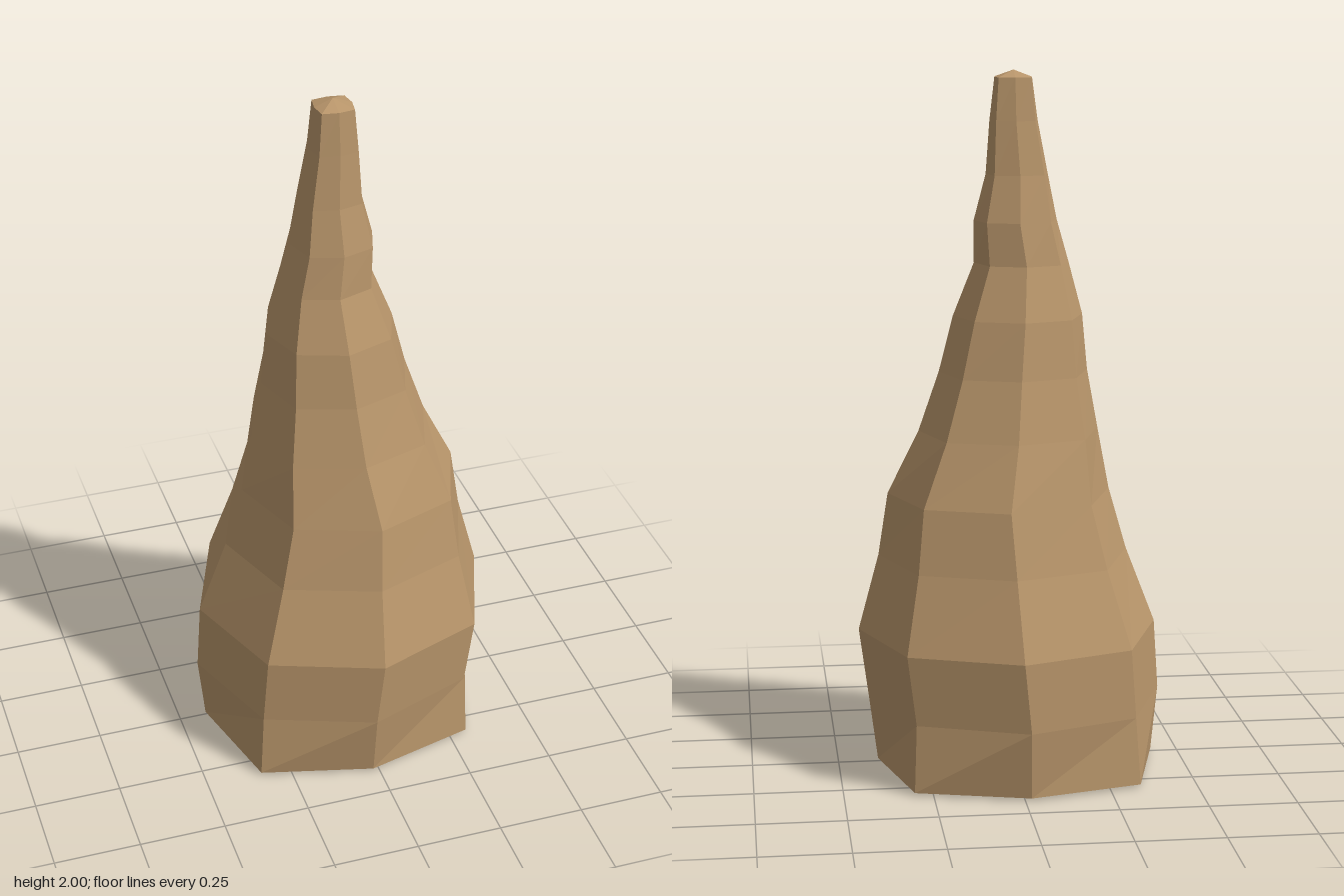
import * as THREE from 'three';

// Rings of the spire: height, centre x, radius on the axes, offset of the diagonal corners
const RINGS = [
  [0.008, -0.018, 0.403, 0.32],
  [0.2, -0.015, 0.425, 0.31],
  [0.4, 0.005, 0.432, 0.315],
  [0.62, 0.018, 0.36, 0.265],
  [0.8, 0.03, 0.32, 0.235],
  [0.98, 0.002, 0.258, 0.195],
  [1.15, -0.012, 0.213, 0.16],
  [1.31, -0.025, 0.185, 0.137],
  [1.46, -0.035, 0.135, 0.1],
  [1.58, -0.018, 0.118, 0.09],
  [1.71, -0.022, 0.088, 0.07],
  [1.86, -0.013, 0.068, 0.055],
  [1.98, -0.012, 0.053, 0.046],
];
const SIDES = 8;

function spireGeometry() {
  const positions = [];
  const index = [];

  // Octagonal cross-sections, uneven between axis and diagonal corners
  for (const [y, cx, axis, diagonal] of RINGS) {
    for (let i = 0; i < SIDES; i++) {
      const angle = (i / SIDES) * Math.PI * 2;
      const r = i % 2 ? diagonal * Math.SQRT2 : axis;
      positions.push(cx + r * Math.cos(angle), y, r * Math.sin(angle));
    }
  }

  // Side facets
  for (let k = 0; k < RINGS.length - 1; k++) {
    for (let i = 0; i < SIDES; i++) {
      const a = k * SIDES + i;
      const b = k * SIDES + ((i + 1) % SIDES);
      index.push(a, a + SIDES, b, b, a + SIDES, b + SIDES);
    }
  }

  // Base and blunt tip, each fanned from a centre point
  const base = RINGS.length * SIDES;
  const tip = base + 1;
  const last = (RINGS.length - 1) * SIDES;
  positions.push(RINGS[0][1], 0, 0, -0.013, 2, 0);
  for (let i = 0; i < SIDES; i++) {
    const j = (i + 1) % SIDES;
    index.push(base, i, j, tip, last + j, last + i);
  }

  const geometry = new THREE.BufferGeometry();
  geometry.setAttribute('position', new THREE.Float32BufferAttribute(positions, 3));
  geometry.setIndex(index);
  geometry.computeVertexNormals();
  return geometry;
}

export function createModel() {
  const group = new THREE.Group();
  group.name = 'stalagmite';
  const material = new THREE.MeshStandardMaterial({ color: 0xb9966b, flatShading: true });
  const spire = new THREE.Mesh(spireGeometry(), material);
  spire.name = 'rockSpire';
  group.add(spire);
  return group;
}
